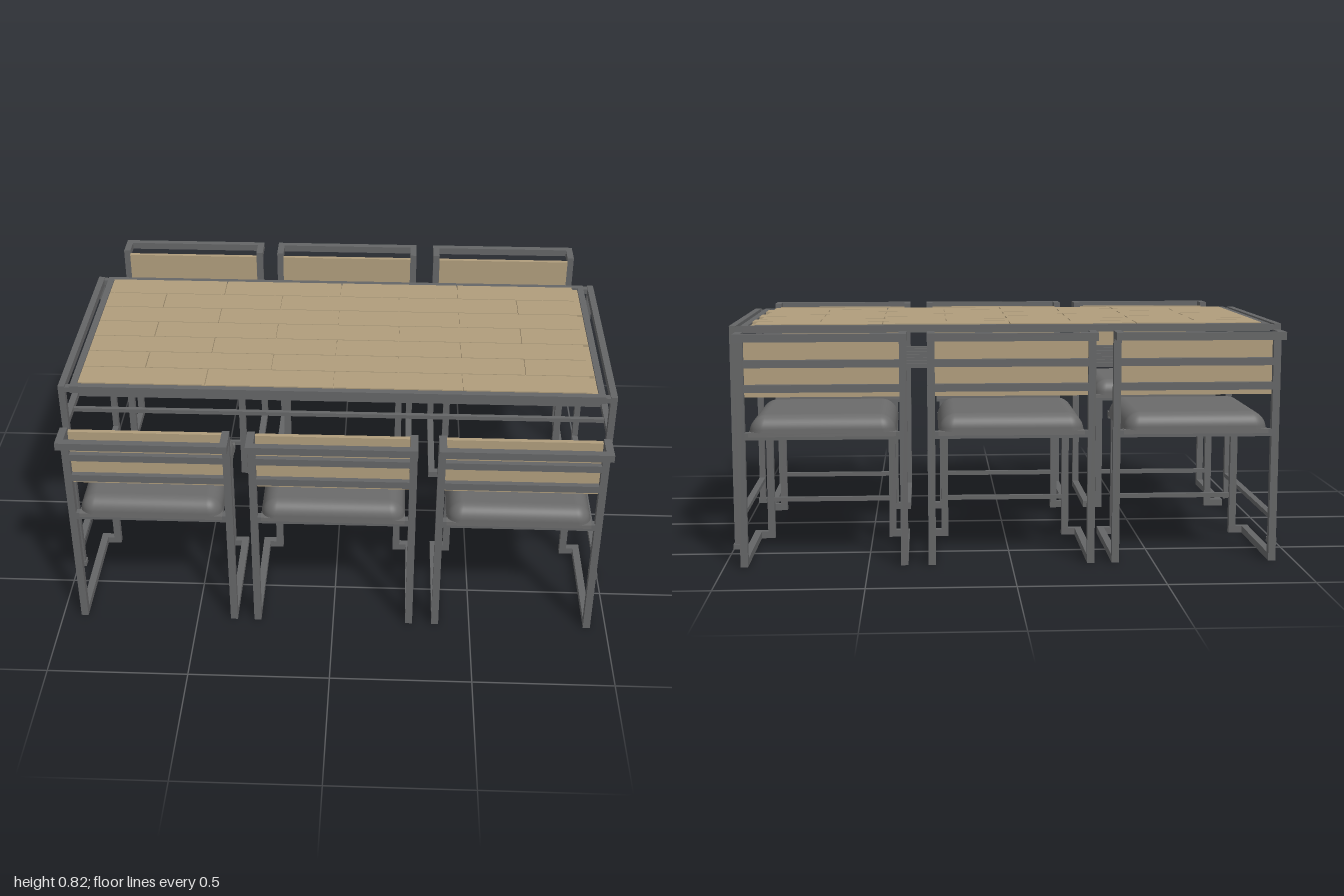
import * as THREE from 'three';
import { RoundedBoxGeometry } from 'three/addons/geometries/RoundedBoxGeometry.js';

const material = (name, color) => {
  const m = new THREE.MeshStandardMaterial({ color });
  m.name = name;
  return m;
};
const metal = material('grey metal', 0x646566);
const fabric = material('grey fabric', 0x6b6b6b);
const wood = material('light wood', 0xb09d7c);

// Box given by its two opposite corners
function box(parent, name, mat, x0, x1, y0, y1, z0, z1) {
  const mesh = new THREE.Mesh(new THREE.BoxGeometry(x1 - x0, y1 - y0, z1 - z0), mat);
  mesh.position.set((x0 + x1) / 2, (y0 + y1) / 2, (z0 + z1) / 2);
  mesh.name = name;
  parent.add(mesh);
  return mesh;
}

// Cushion: rounded box with its lower half flattened
function cushionGeometry(w, h, d) {
  const g = new RoundedBoxGeometry(w, h * 2, d, 5, 0.048);
  const p = g.attributes.position;
  for (let i = 0; i < p.count; i++) {
    const y = p.getY(i);
    if (y > 0) {
      const s = 1 - 0.05 * (y / h);
      p.setX(i, p.getX(i) * s);
    } else p.setY(i, 0);
  }
  return g;
}

// Chair whose backrest is at +z and whose seat opens towards -z
function makeChair() {
  const chair = new THREE.Group();
  chair.name = 'chair';
  const W = 0.291, T = 0.026;
  for (const s of [-1, 1]) {
    const bar = (name, a, b, ...rest) =>
      box(chair, name, metal, Math.min(s * a, s * b), Math.max(s * a, s * b), ...rest);
    bar('backPost', W - T, W, 0, 0.817, 0.672, 0.698);
    bar('floorRail', W - T, W, 0, 0.026, 0.236, 0.672);
    bar('footReturn', 0.215, W - T, 0, 0.026, 0.236, 0.262);
    bar('frontLeg', 0.215, 0.241, 0.026, 0.448, 0.236, 0.262);
    bar('topArm', W - T, W, 0.79, 0.817, 0.698, 0.772);
    bar('seatSideRail', 0.215, 0.241, 0.446, 0.471, 0.262, 0.672);
  }
  box(chair, 'topBar', metal, -W, W, 0.79, 0.817, 0.746, 0.772);
  box(chair, 'seatBackRail', metal, -W + T, W - T, 0.446, 0.471, 0.672, 0.698);
  box(chair, 'seatFrontRail', metal, -0.253, 0.253, 0.446, 0.471, 0.236, 0.262);
  box(chair, 'legStretcher', metal, -0.215, 0.215, 0.139, 0.155, 0.241, 0.257);
  for (const y of [0.61, 0.695])
    box(chair, 'backBar', metal, -W + T, W - T, y, y + T, 0.678, 0.698);
  box(chair, 'backPanel', wood, -0.265, 0.265, 0.592, 0.803, 0.662, 0.678);
  box(chair, 'seatPanel', fabric, -0.253, 0.253, 0.457, 0.472, 0.232, 0.7);
  const cushion = new THREE.Mesh(cushionGeometry(0.507, 0.06, 0.472), fabric);
  cushion.name = 'cushion';
  cushion.position.set(0, 0.47, 0.466);
  chair.add(cushion);
  return chair;
}

function makeTable() {
  const table = new THREE.Group();
  table.name = 'table';
  const zs = [-0.422, 0.397];
  // End frames
  for (const s of [-1, 1]) {
    const x = s * 0.984, h = 0.012;
    for (const z of zs) {
      box(table, 'tableLeg', metal, x - h, x + h, 0, 0.817, z - h, z + h);
      box(table, 'foot', metal, x - 0.016, x + 0.016, 0, 0.02, z - 0.016, z + 0.016);
      box(table, 'cornerConnector', metal, s * 0.96 - 0.014, s * 0.96 + 0.014, 0.793, 0.813, z - h, z + h);
    }
    for (const [name, y0, y1] of [['endTopRail', 0.79, 0.817], ['shelfRail', 0.648, 0.669], ['lowerRail', 0.092, 0.109]])
      box(table, name, metal, x - h, x + h, y0, y1, zs[0] + h, zs[1] - h);
    box(table, 'topEndFrame', metal, s * 0.943 - h, s * 0.943 + h, 0.79, 0.817, zs[0] + h, zs[1] - h);
  }
  for (const z of zs)
    box(table, 'topLongFrame', metal, -0.955, 0.955, 0.79, 0.817, z - 0.012, z + 0.012);
  // Shelf slats under the top
  for (let i = 0; i < 7; i++) {
    const z = -0.333 + i * 0.107;
    box(table, 'shelfSlat', metal, -0.974, 0.974, 0.651, 0.666, z - 0.008, z + 0.008);
  }
  // Wooden top: backing board with staggered planks
  box(table, 'topBoard', wood, -0.932, 0.932, 0.794, 0.81, -0.41, 0.385);
  const rows = 7, pitch = 0.795 / rows, gap = 0.002, length = 0.46;
  for (let r = 0; r < rows; r++) {
    const z = -0.41 + r * pitch;
    for (let x = -0.93 - (r % 2) * length / 2; x < 0.92; x += length) {
      const a = Math.max(x, -0.93), b = Math.min(x + length, 0.93);
      if (b - a > 0.03)
        box(table, 'plank', wood, a + gap, b - gap, 0.809, 0.82, z + gap, z + pitch - gap);
    }
  }
  return table;
}

export function createModel() {
  const model = new THREE.Group();
  model.name = 'diningSet';
  model.add(makeTable());
  // Three chairs on each long side
  for (const x of [-0.643, 0, 0.652]) {
    const front = makeChair();
    front.position.x = x;
    const back = makeChair();
    back.position.x = x;
    back.rotation.y = Math.PI;
    model.add(front, back);
  }
  return model;
}
